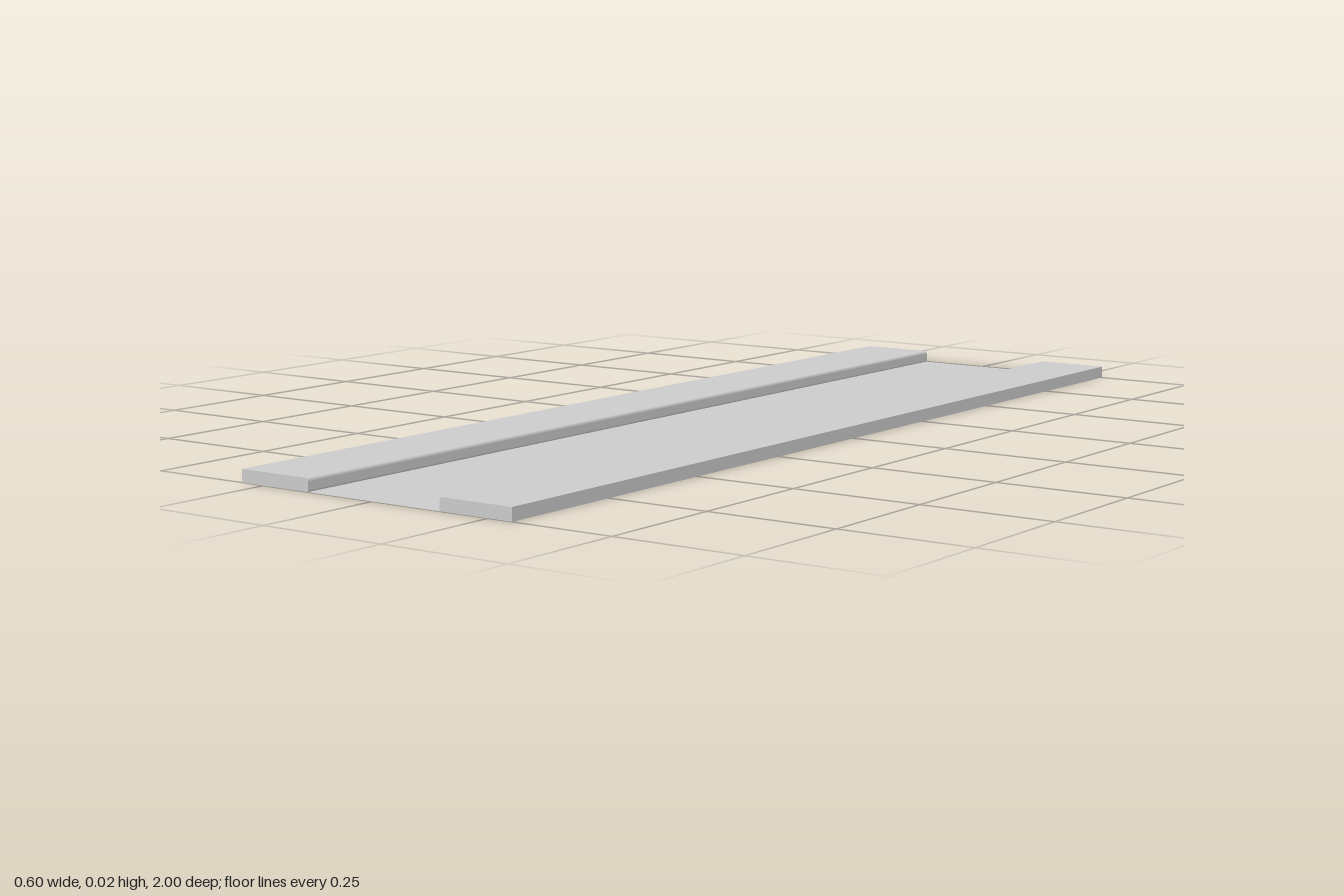
import * as THREE from 'three';

const LENGTH = 2, OUTER = 0.3, HEIGHT = 0.024;

// Kerb cross-section: square outer side, softly rounded inner edge
function kerbGeometry(inner, side) {
  const top = 0.005, low = 0.003;
  const s = new THREE.Shape();
  s.moveTo(side * OUTER, 0);
  s.lineTo(side * OUTER, HEIGHT);
  s.lineTo(side * (inner + top), HEIGHT);
  s.quadraticCurveTo(side * (inner + 0.001), HEIGHT, side * inner, HEIGHT - top);
  s.lineTo(side * inner, low);
  s.quadraticCurveTo(side * inner, 0.001, side * (inner + low / 2), 0);
  s.closePath();
  const g = new THREE.ExtrudeGeometry(s, { depth: LENGTH, bevelEnabled: false, curveSegments: 4 });
  return g.translate(0, 0, -LENGTH / 2);
}

export function createModel() {
  const group = new THREE.Group();
  const material = new THREE.MeshStandardMaterial({ color: 0xcccccc, side: THREE.DoubleSide });
  const add = (name, geometry) => {
    const mesh = new THREE.Mesh(geometry, material);
    mesh.name = name;
    group.add(mesh);
  };

  // Raised pavements along both sides
  const innerLeft = 0.148, innerRight = 0.145;
  add('leftPavement', kerbGeometry(innerLeft, 1));
  add('rightPavement', kerbGeometry(innerRight, -1));

  // Flat road surface between the pavements, tucked up to their lower edges
  const x0 = -innerRight - 0.0015, x1 = innerLeft + 0.0015;
  const road = new THREE.PlaneGeometry(x1 - x0, LENGTH).rotateX(-Math.PI / 2);
  add('roadSurface', road.translate((x0 + x1) / 2, 0, 0));

  return group;
}
